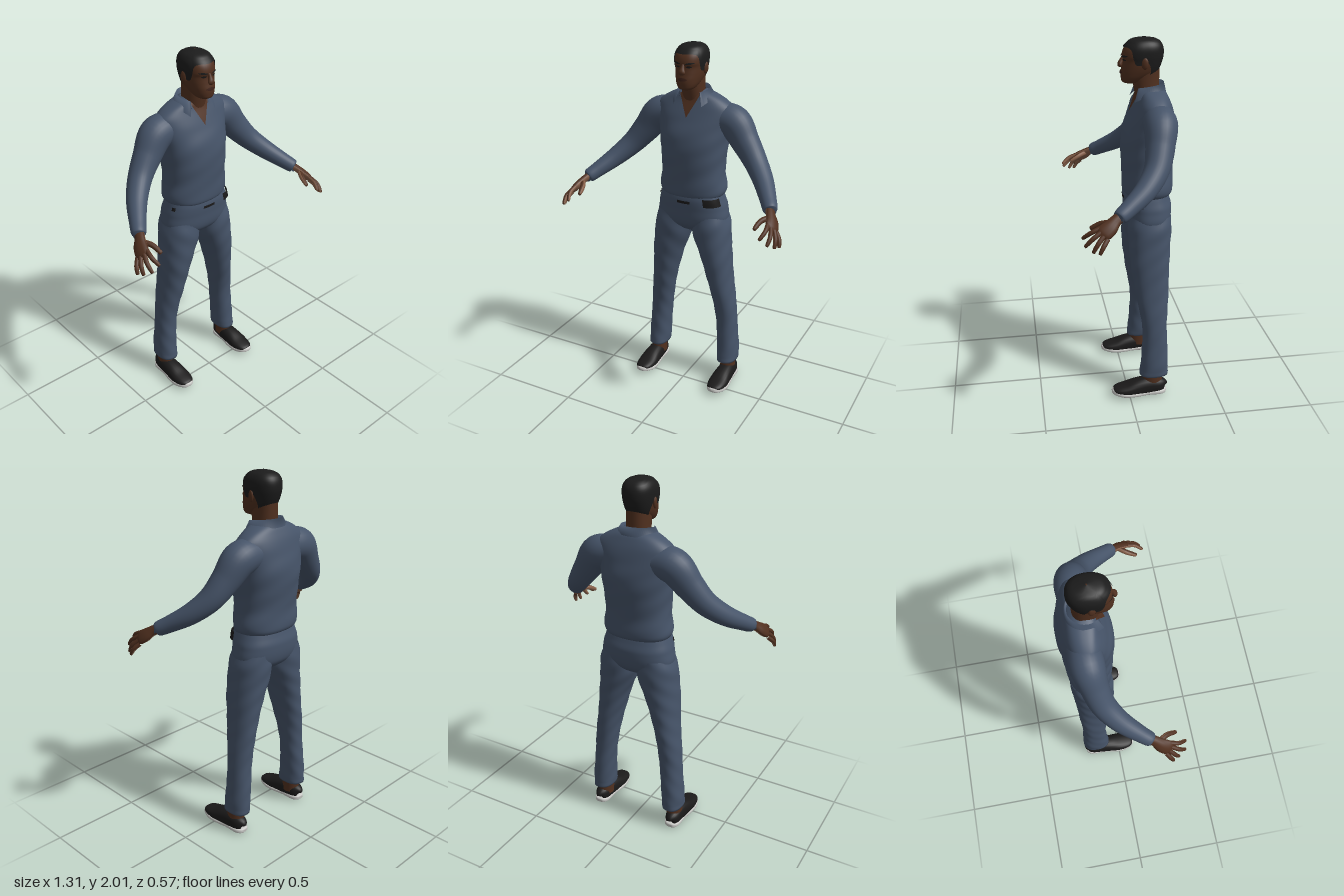
import * as THREE from 'three';
import { mergeVertices } from 'three/addons/utils/BufferGeometryUtils.js';

const { sin, cos, abs, PI, sign, max, min } = Math;
const V = (x, y, z) => new THREE.Vector3(x, y, z);

const material = (name, color, open) => {
  const m = new THREE.MeshStandardMaterial({ color });
  m.name = name;
  if (open) m.side = THREE.DoubleSide;
  return m;
};

// Smooth interpolation of table rows; column 0 is the ascending key.
function sample(rows, s) {
  const n = rows.length;
  let i = 0;
  while (i < n - 2 && s > rows[i + 1][0]) i++;
  const a = rows[i], b = rows[i + 1], p = rows[max(i - 1, 0)], q = rows[min(i + 2, n - 1)];
  const h = b[0] - a[0], t = min(max((s - a[0]) / h, 0), 1), t2 = t * t, t3 = t2 * t;
  return a.map((_, c) => {
    const m0 = (b[c] - p[c]) / (b[0] - p[0]) * h, m1 = (q[c] - a[c]) / (q[0] - a[0]) * h;
    return (2 * t3 - 3 * t2 + 1) * a[c] + (t3 - 2 * t2 + t) * m0 + (3 * t2 - 2 * t3) * b[c] + (t3 - t2) * m1;
  });
}

// Grid surface from a point function of u, v in 0..1.
function surface(fn, nu, nv, split) {
  const pos = [], idx = [];
  for (let i = 0; i <= nu; i++)
    for (let j = 0; j <= nv; j++) pos.push(...fn(i / nu, j / nv).toArray());
  for (let i = 0; i < nu; i++)
    for (let j = 0; j < nv; j++) {
      const a = i * (nv + 1) + j, b = a + nv + 1;
      idx.push(a, a + 1, b, b, a + 1, b + 1);
    }
  let g = new THREE.BufferGeometry();
  g.setAttribute('position', new THREE.Float32BufferAttribute(pos, 3));
  g.setIndex(idx);
  g = mergeVertices(g, 1e-5);
  g.computeVertexNormals();
  if (split) {
    g.addGroup(0, idx.length / 2, 0);
    g.addGroup(idx.length / 2, idx.length / 2, 1);
  }
  return g;
}

const pw = (c, n) => sign(c) * abs(c) ** (2 / n);

// Upright form from rows [y, centreX, halfWidth, backZ, frontZ].
function upright(rows, n = 2.2, fold = 0) {
  const at = (y, th, grow = 0) => {
    const [, cx, rx, zb, zf] = sample(rows, y);
    const k = 1 + fold * sin(3 * th + y * 34) * sin(y * 21 + th);
    return V(cx + (max(rx, 0) + grow) * k * pw(cos(th), n), y, (zb + zf) / 2 + (max(zf - zb, 0) / 2 + grow) * k * pw(sin(th), n));
  };
  const y0 = rows[0][0], y1 = rows[rows.length - 1][0];
  return {
    at,
    geo: (nu = 40, nv = 40) => surface((u, v) => at(y0 + (y1 - y0) * v, u * 2 * PI), nu, nv),
    // Point on the front at a given x and y
    front: (x, y, off) => {
      const c = sign(x) * min(abs(x) / sample(rows, y)[2], 1) ** (n / 2);
      return at(y, Math.acos(c)).add(V(0, 0, off));
    },
  };
}

// Limb along a path from rows [x, y, z, halfWidth, halfThickness].
function limb(rows, wide, { n = 2, nu = 16, nv = 24, split = false } = {}) {
  const keyed = rows.map((r, i) => [i, ...r]), last = rows.length - 1;
  const point = s => { const [, x, y, z] = sample(keyed, s); return V(x, y, z); };
  return surface((u, v) => {
    const s = v * last, [, x, y, z, a, b] = sample(keyed, s);
    const T = point(min(s + 0.05, last)).sub(point(max(s - 0.05, 0))).normalize();
    const W = wide.clone().addScaledVector(T, -wide.dot(T)).normalize();
    const N = W.clone().cross(T), th = u * 2 * PI;
    return V(x, y, z).addScaledVector(W, max(a, 0) * pw(cos(th), n)).addScaledVector(N, max(b, 0) * pw(sin(th), n));
  }, nu, nv, split);
}

function mirrored(geo) {
  const g = geo.clone().scale(-1, 1, 1), ix = g.index.array;
  for (let i = 0; i < ix.length; i += 3) [ix[i], ix[i + 1]] = [ix[i + 1], ix[i]];
  return g;
}

export function createModel() {
  const cloth = material('blue cloth', 0x465469, true), skin = material('brown skin', 0x50301f, true);
  const palm = material('palm', 0x865f48), hair = material('black hair', 0x1c1c1c, true);
  const black = material('black leather', 0x1b1a1a, true), white = material('sole white', 0xc9c9c6);
  const lip = material('lip', 0x3d221a, true);

  const model = new THREE.Group();
  model.name = 'standingMan';
  const add = (name, geo, mat) => {
    const m = new THREE.Mesh(geo, mat);
    m.name = name;
    model.add(m);
  };
  const pair = (name, geo, mat) => {
    add('left' + name, geo, mat);
    add('right' + name, mirrored(geo), mat);
  };

  // Shirt body
  const shirt = upright([
    [1.163, 0, 0.165, -0.235, -0.01], [1.175, 0, 0.184, -0.258, 0], [1.21, 0, 0.193, -0.266, 0.003],
    [1.3, 0, 0.181, -0.265, 0.006], [1.4, 0, 0.184, -0.277, 0.012], [1.5, 0, 0.194, -0.284, 0.005],
    [1.6, 0, 0.212, -0.265, -0.03], [1.66, 0, 0.218, -0.248, -0.055], [1.7, 0, 0.175, -0.232, -0.07],
    [1.73, 0, 0.115, -0.215, -0.078], [1.75, 0, 0.06, -0.19, -0.09]], 2.3, 0.012);
  add('shirt', shirt.geo(56, 60), cloth);

  // Sleeves
  pair('Sleeve', limb([
    [0.13, 1.6, -0.16, 0.085, 0.085], [0.225, 1.582, -0.158, 0.088, 0.092], [0.3, 1.492, -0.14, 0.074, 0.077],
    [0.375, 1.402, -0.108, 0.065, 0.063], [0.45, 1.327, -0.04, 0.056, 0.053], [0.515, 1.267, 0.05, 0.044, 0.043],
    [0.547, 1.238, 0.1, 0.037, 0.037], [0.549, 1.236, 0.103, 0.02, 0.02]], V(0, 0, 1), { nu: 28, nv: 48 }), cloth);

  // Hands: back is skin, underside is palm
  const across = V(-0.04, 0.045, 0.04);
  const hand = (name, rows) => pair(name, limb(rows, across, { split: true, nu: 12, nv: 16 }), [skin, palm]);
  hand('Hand', [[0.54, 1.243, 0.09, 0.028, 0.022], [0.56, 1.225, 0.125, 0.03, 0.02],
    [0.58, 1.2, 0.155, 0.04, 0.021], [0.594, 1.18, 0.187, 0.041, 0.017], [0.602, 1.17, 0.203, 0.02, 0.008]]);
  const fingers = {
    IndexFinger: [[0.576, 1.2, 0.2], [0.58, 1.18, 0.245], [0.566, 1.15, 0.283]],
    MiddleFinger: [[0.592, 1.185, 0.2], [0.607, 1.156, 0.243], [0.604, 1.122, 0.276]],
    RingFinger: [[0.606, 1.17, 0.188], [0.627, 1.135, 0.22], [0.63, 1.1, 0.24]],
    LittleFinger: [[0.612, 1.155, 0.17], [0.637, 1.125, 0.194], [0.644, 1.095, 0.21]],
    Thumb: [[0.56, 1.215, 0.145], [0.532, 1.205, 0.19], [0.52, 1.18, 0.238]],
  };
  for (const [name, [a, b, c]] of Object.entries(fingers)) {
    const r = name === 'Thumb' ? 0.014 : 0.0115;
    const end = c.map((v, i) => v + (c[i] - b[i]) * 0.06);
    hand(name, [[...a, r * 1.1, r], [...b, r, r], [...c, r * 0.75, r * 0.7], [...end, 0, 0]]);
  }

  // Trousers
  const pelvis = upright([
    [0.935, 0, 0.02, -0.16, -0.1], [0.965, 0, 0.12, -0.215, -0.05], [1.01, 0, 0.2, -0.25, -0.014],
    [1.1, 0, 0.2, -0.26, -0.003], [1.15, 0, 0.187, -0.248, 0], [1.18, 0, 0.178, -0.24, -0.004]], 2.4);
  add('trouserSeat', pelvis.geo(48, 30), cloth);
  pair('TrouserLeg', upright([
    [0.112, 0.232, 0.03, -0.18, -0.09], [0.118, 0.232, 0.054, -0.218, -0.063], [0.15, 0.23, 0.06, -0.222, -0.064],
    [0.2, 0.229, 0.062, -0.222, -0.07], [0.3, 0.222, 0.06, -0.22, -0.076], [0.4, 0.214, 0.061, -0.216, -0.078],
    [0.5, 0.203, 0.063, -0.22, -0.065], [0.6, 0.187, 0.066, -0.226, -0.046], [0.7, 0.169, 0.075, -0.228, -0.032],
    [0.8, 0.151, 0.087, -0.235, -0.018], [0.93, 0.12, 0.106, -0.246, -0.01], [1.0, 0.111, 0.108, -0.25, -0.01],
    [1.06, 0.1, 0.1, -0.245, -0.02]], 2.2, 0.025).geo(32, 80), cloth);

  // Belt pouch, buckle and side clip
  const beltPiece = (name, a, b, y0, y1, grow) => add(name, surface((u, v) =>
    pelvis.at(y0 + (y1 - y0) * v, a + (b - a) * u, grow * (0.5 + 0.5 * sin(PI * u))), 14, 4), black);
  beltPiece('beltPouch', 0.3, 1.02, 1.125, 1.17, 0.013);
  beltPiece('beltBuckle', 1.42, 1.72, 1.135, 1.15, 0.004);
  beltPiece('beltClip', 2.78, 2.95, 1.14, 1.16, 0.005);

  // Neck, open shirt front and collar
  add('neck', upright([[1.62, 0, 0.07, -0.2, -0.08], [1.72, 0, 0.062, -0.19, -0.06],
    [1.78, 0, 0.06, -0.19, -0.05], [1.84, 0, 0.06, -0.19, -0.05]]).geo(28, 12), skin);
  add('openChest', surface((u, v) => shirt.front(0.06 * v * (1 - 2 * u), 1.612 + 0.122 * v, 0.005), 12, 12), skin);
  add('collar', surface((u, v) => {
    const s = abs(2 * u - 1), th = -PI / 2 + (2 * u - 1) * PI * 0.75, f = s * s;
    const [r, rz, y] = [[0.078, 0.078, 1.7 - 0.01 * f], [0.086, 0.085, 1.768 - 0.022 * f], [0.116, 0.095 + 0.022 * f, 1.722 - 0.047 * f * f]][Math.round(v * 2)];
    return V(r * cos(th), y, -0.13 + rz * sin(th));
  }, 40, 2), cloth);

  // Head
  const head = upright([
    [1.762, 0, 0.015, -0.06, -0.02], [1.77, 0, 0.038, -0.09, 0.003], [1.79, 0, 0.054, -0.12, 0.011],
    [1.82, 0, 0.066, -0.17, 0.013], [1.85, 0, 0.073, -0.188, 0.007], [1.885, 0, 0.077, -0.2, 0.002],
    [1.905, 0, 0.079, -0.204, 0.007], [1.94, 0, 0.078, -0.203, -0.002], [1.965, 0, 0.068, -0.192, -0.022],
    [1.983, 0, 0.047, -0.167, -0.05], [1.993, 0, 0.004, -0.112, -0.105]], 2.25);
  add('head', head.geo(40, 48), skin);

  // Hair cap with a shaped hairline from forehead to nape
  const hairline = [[0, 1.947], [0.2, 1.947], [0.31, 1.93], [0.37, 1.875], [0.46, 1.865],
    [0.54, 1.88], [0.62, 1.85], [0.72, 1.805], [1, 1.79]];
  const pivot = V(0, 1.88, -0.1);
  add('hair', surface((u, v) => {
    const y = sample(hairline, abs(2 * u - 1))[1], top = 1.993;
    const p = head.at(y + (top - y) * v, PI / 2 + (2 * u - 1) * PI).sub(pivot);
    return p.multiplyScalar(1.06).add(pivot);
  }, 64, 20), hair);

  // Nose, ears, brows, eyes and lips
  add('nose', limb([[0, 1.908, -0.002, 0.006, 0.006], [0, 1.885, 0.008, 0.01, 0.01],
    [0, 1.862, 0.017, 0.019, 0.013], [0, 1.853, 0.012, 0.014, 0.008], [0, 1.85, 0.006, 0, 0]], V(1, 0, 0)), skin);
  pair('Ear', new THREE.SphereGeometry(1, 14, 10).scale(0.01, 0.031, 0.019).rotateY(-0.3).translate(0.08, 1.875, -0.1), skin);
  const lens = (x0, x1, y, h, tilt = 0) => surface((u, v) =>
    head.front(x1 + (x0 - x1) * u, y + tilt * (1 - u) + h * (2 * v - 1) * sin(PI * (0.06 + 0.88 * u)), 0.004), 12, 4);
  pair('Brow', lens(0.014, 0.058, 1.904, 0.005, 0.005), hair);
  pair('Eye', lens(0.018, 0.046, 1.888, 0.005), black);
  add('lips', lens(-0.028, 0.028, 1.824, 0.009), lip);

  // Ankles and shoes
  pair('Ankle', new THREE.CylinderGeometry(0.042, 0.044, 0.09, 20).scale(1, 1, 1.3).translate(0.235, 0.095, -0.135), skin);
  const across2 = V(1, 0, 0), x = 0.24;
  pair('ShoeUpper', limb([
    [x, 0.045, -0.208, 0, 0], [x, 0.05, -0.202, 0.026, 0.03], [x, 0.05, -0.17, 0.042, 0.046], [x, 0.05, -0.11, 0.047, 0.054],
    [x, 0.045, -0.05, 0.052, 0.05], [x, 0.038, 0.01, 0.056, 0.036], [x, 0.037, 0.06, 0.048, 0.024],
    [x, 0.037, 0.088, 0.03, 0.014], [x, 0.037, 0.096, 0, 0]], across2, { nu: 24, nv: 36, n: 2.3 }), black);
  pair('ShoeSole', limb([
    [x, 0.018, -0.213, 0, 0], [x, 0.018, -0.208, 0.026, 0.013], [x, 0.017, -0.175, 0.045, 0.015], [x, 0.017, -0.1, 0.046, 0.014],
    [x, 0.017, -0.03, 0.057, 0.014], [x, 0.02, 0.03, 0.058, 0.015], [x, 0.028, 0.075, 0.043, 0.015],
    [x, 0.033, 0.097, 0.022, 0.012], [x, 0.034, 0.103, 0, 0]], across2, { nu: 24, nv: 36, n: 3.5 }), white);
  // Dark tread pads under the sole
  for (const [name, z, rx, rz] of [['HeelTread', -0.155, 0.03, 0.032], ['ForeTread', -0.015, 0.04, 0.045]])
    pair(name, new THREE.CylinderGeometry(1, 1, 0.006, 24).scale(rx, 1, rz).translate(x, 0.003, z), black);

  return model;
}
